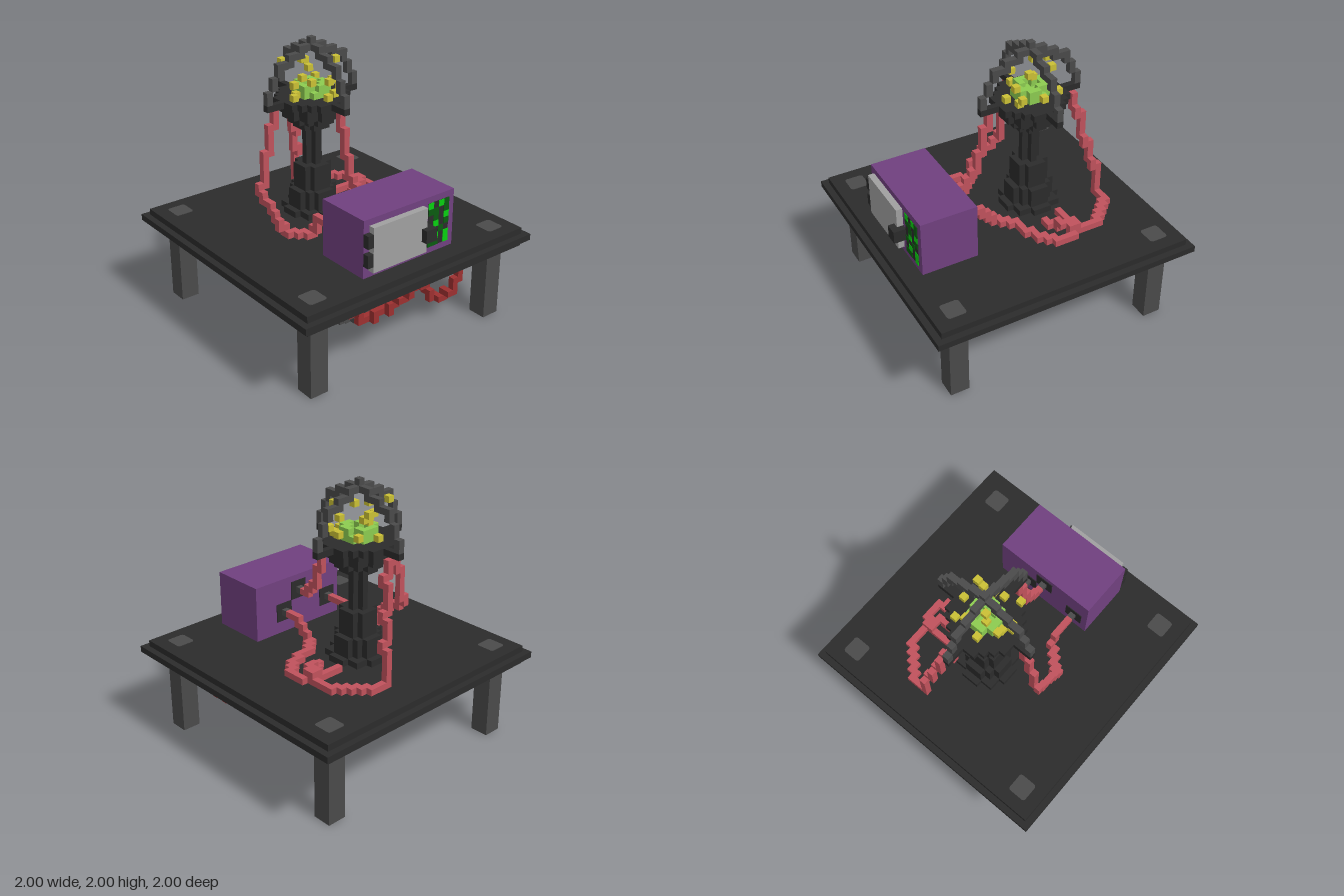
import * as THREE from 'three';
import { mergeGeometries } from 'three/addons/utils/BufferGeometryUtils.js';

const V = 2 / 43; // edge of one cube

const mat = (name, color) => {
  const m = new THREE.MeshStandardMaterial({ color });
  m.name = name;
  return m;
};

// box covering whole cells from (x0,y0,z0) to (x1,y1,z1); x and z cells are centred on integers
function cells(x0, x1, y0, y1, z0, z1) {
  return new THREE.BoxGeometry((x1 - x0 + 1) * V, (y1 - y0 + 1) * V, (z1 - z0 + 1) * V)
    .translate((x0 + x1) / 2 * V, (y0 + y1 + 1) / 2 * V, (z0 + z1) / 2 * V);
}
const cube = ([x, y, z]) => cells(x, x, y, y, z, z);

// round slab made of rows of cubes
function disc(r, y0, y1, cz) {
  const rows = [];
  for (let z = -r; z <= r; z++) {
    const w = Math.floor(Math.sqrt((r + 0.4) ** 2 - z * z));
    rows.push(cells(-w, w, y0, y1, cz + z, cz + z));
  }
  return rows;
}

// chain of cubes through the given cells, one axis step at a time
function cable(points) {
  const seen = new Map();
  const add = (p) => seen.set(p.join(), [...p]);
  let p = [...points[0]];
  add(p);
  for (const q of points.slice(1)) {
    const total = q.map((v, i) => Math.abs(v - p[i]) || 1);
    while (p.join() !== q.join()) {
      const left = q.map((v, i) => Math.abs(v - p[i]) / total[i]);
      const a = left.indexOf(Math.max(...left));
      p[a] += Math.sign(q[a] - p[a]);
      add(p);
    }
  }
  return [...seen.values()].map(cube);
}

export function createModel() {
  const dark = mat('charcoal', 0x2b2b2b), grey = mat('iron grey', 0x4a4a4a);
  const purple = mat('purple', 0x70407f), silver = mat('light grey', 0xa0a0a0);
  const red = mat('cable red', 0xc0525c), deepRed = mat('deep red', 0x9c3030);
  const yellow = mat('yellow', 0xcac035), lime = mat('lime', 0x8ccb50);
  const bright = mat('bright green', 0x08d010), dim = mat('dark green', 0x0a5a10);

  const model = new THREE.Group();
  const part = (name, material, geos) => {
    const m = new THREE.Mesh(mergeGeometries(geos), material);
    m.name = name;
    model.add(m);
  };

  // table
  part('tableTop', dark, [
    cells(-20, 20, 12, 12, -20, 20), cells(-21, 21, 13, 13, -21, 21), cells(-20, 20, 14, 14, -20, 20),
  ]);
  const pad = new THREE.Shape(), h = 1.5 * V, c = 0.9 * V / 2;
  pad.absarc(h - c, h - c, c, 0, Math.PI / 2);
  pad.absarc(c - h, h - c, c, Math.PI / 2, Math.PI);
  pad.absarc(c - h, c - h, c, Math.PI, Math.PI * 1.5);
  pad.absarc(h - c, c - h, c, Math.PI * 1.5, Math.PI * 2);
  const legs = [], pads = [];
  for (const x of [-17, 17]) for (const z of [-17, 17]) {
    legs.push(cells(x - 1, x + 1, 0, 11, z - 1, z + 1));
    pads.push(new THREE.ExtrudeGeometry(pad, { depth: 0.004, bevelEnabled: false, curveSegments: 5 })
      .rotateX(-Math.PI / 2).translate(x * V, 15 * V, z * V));
  }
  part('legs', grey, legs);
  part('legCaps', grey, pads);

  // round vessel hanging under the table
  const radii = [6, 8, 9, 10, 11, 12, 12, 11, 10, 9, 8, 6];
  part('vessel', grey, radii.flatMap((r, y) => disc(r, y, y, 0)));

  // pedestal with stepped base and flared head
  part('pedestal', dark, [
    [4, 15, 15], [3, 16, 18], [2, 19, 22], [1, 23, 28], [2, 29, 29], [3, 30, 30], [4, 31, 32], [5, 33, 33],
  ].flatMap(([r, y0, y1]) => disc(r, y0, y1, -5)));
  part('pedestalArms', dark, [cells(-8, 8, 33, 33, -5, -5), cells(0, 0, 33, 33, -13, 3)]);

  // domed cage of two crossing ribs: [inner, outer, bottom, top]
  const rib = [[8, 8, 34, 35], [7, 7, 36, 37], [6, 6, 38, 39], [4, 5, 39, 39], [2, 4, 40, 40], [1, 2, 41, 41]];
  const ribs = [cells(0, 0, 41, 42, -5, -5)];
  for (const [a, b, y0, y1] of rib) {
    ribs.push(cells(a, b, y0, y1, -5, -5), cells(-b, -a, y0, y1, -5, -5));
    ribs.push(cells(0, 0, y0, y1, a - 5, b - 5), cells(0, 0, y0, y1, -b - 5, -a - 5));
  }
  part('cage', grey, ribs);

  // glowing heap and sparks inside the cage
  const heap = [];
  for (let x = -2; x <= 2; x++) for (let z = -2; z <= 2; z++) {
    const d = Math.abs(x) + Math.abs(z);
    if (d <= 3) heap.push(cube([x, 34, z - 5]));
    if (d <= 3 && d > 1 && (x + z) % 3 !== 1) heap.push(cube([x, 35, z - 5]));
  }
  part('glowHeap', lime, heap);
  part('sparks', yellow, [
    [-4, 39, -2], [-1, 39, -1], [3, 39, 2], [-2, 38, -4], [1, 38, -3], [-3, 37, 4], [1, 37, -2], [1, 36, 3],
    [-4, 36, 1], [3, 35, -3], [4, 35, 0], [3, 35, 3], [-1, 36, -1], [-4, 34, 1], [-3, 34, 0], [2, 34, 3],
    [0, 34, 4], [-1, 34, -3],
  ].map(([x, y, z]) => cube([x, y, z - 5])));

  // control box
  part('controlBox', purple, [cells(-8, 8, 15, 23, 9, 17)]);
  part('door', silver, [cells(-7, 2, 16, 22, 18, 18)]);
  part('hinges', dark, [cells(-8, -8, 20, 21, 18, 18), cells(-8, -8, 17, 18, 18, 18)]);
  part('doorHandle', dark, [cells(2, 3, 18, 19, 19, 19), cells(3, 3, 18, 19, 18, 18)]);

  // lamp panel on the box front
  const plate = (x, y, w, hgt, z, t) =>
    new THREE.BoxGeometry(w * V, hgt * V, t).translate(x * V, (y + 0.5) * V, z);
  const lamps = (list) => list.map(([x, y]) => plate(x, y, 1, 1, 17.5 * V + 0.005, 0.004));
  part('lampPanel', dark, [plate(5.5, 19, 4, 7, 17.5 * V + 0.002, 0.004)]);
  part('litLamps', bright, lamps([[4, 22], [6, 22], [7, 20], [5, 19], [5, 17], [7, 17], [7, 16]]));
  part('dimLamps', dim, lamps([[7, 22], [7, 21], [4, 21], [5, 21], [5, 20], [7, 19], [4, 18], [6, 18],
    [4, 16], [5, 16]]));

  // sockets at the box back
  const sockets = [[3, 18], [0, 21], [-6, 18]];
  part('socketPlates', dark, sockets.map(([x, y]) => plate(x, y, 3, 3, 8.5 * V - 0.003, 0.006)));
  part('sockets', grey, sockets.map(([x, y]) => cube([x, y, 8])));

  // cables above the table
  part('middleCable', red, cable([[0, 21, 7], [0, 21, 6], [0, 22, 5], [0, 23, 4], [0, 25, 4], [0, 26, 3],
    [0, 29, 3], [0, 30, 2], [0, 32, 2]]));
  part('rightCable', red, cable([[-7, 32, -5], [-7, 30, -5], [-8, 29, -5], [-8, 26, -5], [-9, 25, -5],
    [-9, 21, -5], [-10, 20, -4], [-10, 18, -1], [-10, 16, 0], [-9, 15, 1], [-8, 15, 2], [-7, 15, 3],
    [-6, 17, 4], [-6, 18, 5], [-6, 18, 7]]));
  part('backCable', red, cable([[0, 32, -12], [1, 30, -12], [2, 29, -13], [2, 25, -13], [3, 24, -14],
    [3, 21, -14], [4, 20, -15], [4, 15, -15], [6, 15, -15], [7, 15, -14], [8, 15, -13], [10, 15, -11],
    [11, 15, -10], [11, 15, -7], [10, 16, -5], [9, 15, -5], [7, 15, -4]]));
  part('leftCable', red, cable([[3, 18, 7], [3, 18, 5], [3, 17, 4], [3, 15, 3], [3, 15, 2], [4, 15, 1],
    [5, 15, 0], [7, 15, 0], [9, 15, -1], [11, 15, -3], [12, 15, -4], [12, 15, -6], [11, 16, -7],
    [9, 15, -7], [6, 15, -7]]));

  // cables hanging below the table
  part('lowerRightCable', deepRed, cable([[0, 11, 19], [-2, 8, 17], [-4, 7, 16], [-6, 6, 15], [-9, 8, 14],
    [-12, 10, 12], [-14, 9, 8], [-15, 8, 2], [-15, 8, -4], [-14, 10, -7], [-12, 11, -9]]));
  part('lowerLeftCable', deepRed, cable([[4, 11, 9], [4, 10, 11], [5, 10, 12], [7, 7, 12], [8, 5, 12],
    [9, 3, 13], [10, 3, 14], [11, 4, 15], [12, 6, 15], [13, 8, 15], [13, 11, 15]]));

  return model;
}
